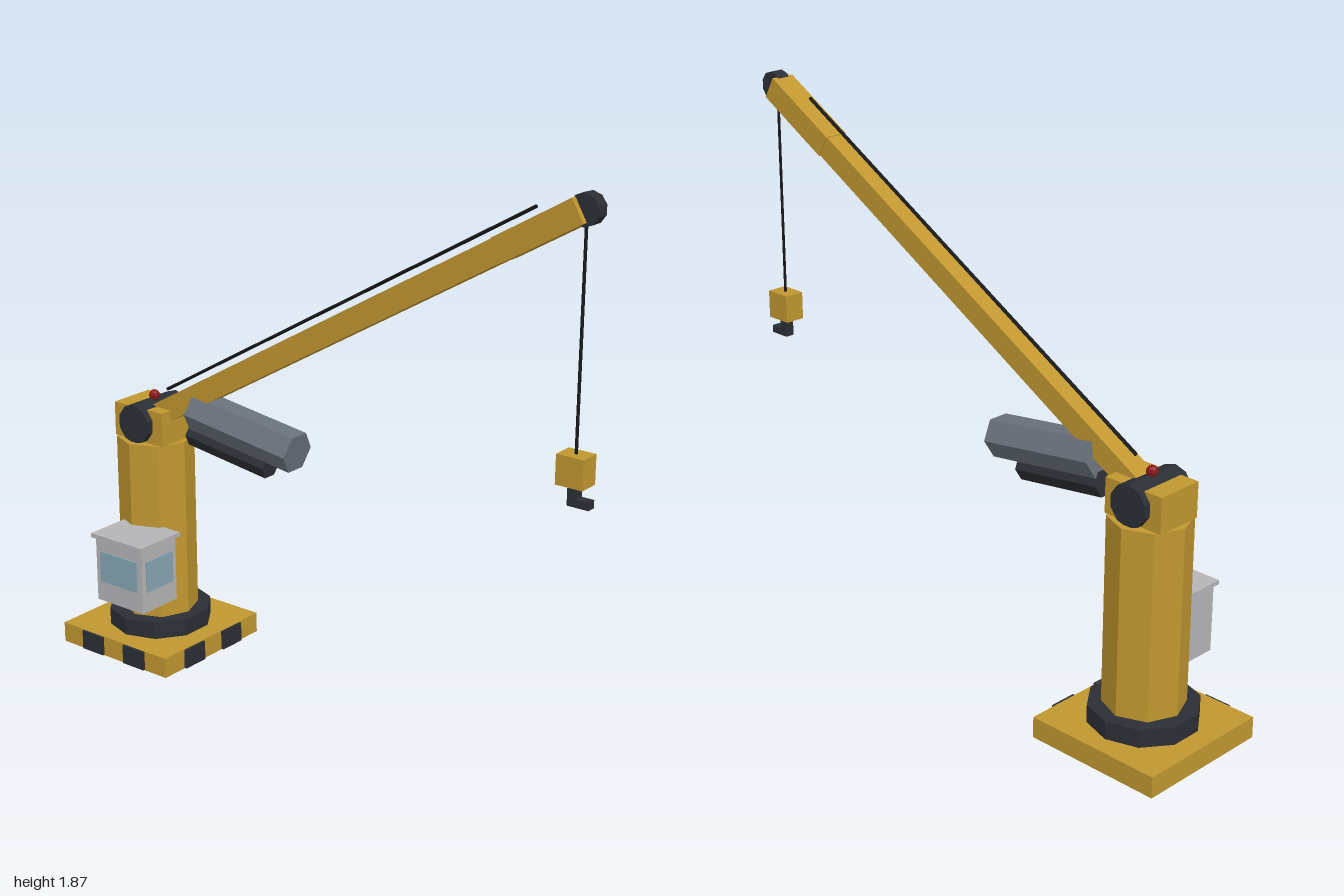
import * as THREE from 'three';

const mat = (color) => new THREE.MeshStandardMaterial({ color, flatShading: true });

export function createModel() {
  const yellow = mat(0xc0962f), dark = mat(0x2b2e35), steel = mat(0x69717b);
  const cabGrey = mat(0xb4b4b6), glass = mat(0x86a5b2), red = mat(0x8c1418), black = mat(0x15171a);
  const CX = -0.755, CZ = -0.016; // column axis
  const model = new THREE.Group();
  model.name = 'columnCrane';

  const add = (name, geometry, material, x, y, z, parent = model) => {
    const mesh = new THREE.Mesh(geometry, material);
    mesh.name = name;
    mesh.position.set(x, y, z);
    parent.add(mesh);
    return mesh;
  };
  const box = (name, material, w, h, d, x, y, z, parent) =>
    add(name, new THREE.BoxGeometry(w, h, d), material, x, y, z, parent);
  const cyl = (name, material, r, h, sides, x, y, z, parent) =>
    add(name, new THREE.CylinderGeometry(r, r, h, sides), material, x, y, z, parent);

  // Base plate with hazard stripes on the front and the +x side
  const size = 0.49, stripe = size / 5;
  box('basePlate', yellow, size, 0.073, size, CX, 0.0365, CZ);
  for (const s of [-1, 1]) {
    box('frontStripe', dark, stripe, 0.069, 0.01, CX + s * stripe, 0.0365, CZ + size / 2 + 0.003);
    box('sideStripe', dark, 0.01, 0.069, stripe, CX + size / 2 + 0.005, 0.0365, CZ + s * stripe);
  }

  // Slewing ring, column, head and boom pivot
  cyl('slewingRing', dark, 0.183, 0.062, 10, CX, 0.104, CZ);
  cyl('column', yellow, 0.135, 0.64, 8, CX, 0.455, CZ);
  box('head', yellow, 0.22, 0.12, 0.17, CX, 0.835, CZ);
  cyl('boomPivot', dark, 0.07, 0.218, 10, CX, 0.84, CZ).rotation.x = Math.PI / 2;
  add('beacon', new THREE.SphereGeometry(0.019, 8, 6), red, CX, 0.921, CZ);

  // Boom, laid along local x from the pivot
  const boom = new THREE.Group();
  boom.name = 'boom';
  boom.position.set(CX, 0.84, CZ);
  boom.rotation.z = Math.PI / 6;
  model.add(boom);
  box('mainBoom', yellow, 1.68, 0.077, 0.077, 0.84, 0, 0, boom);
  box('boomTip', yellow, 0.31, 0.081, 0.085, 1.795, 0, 0, boom);
  cyl('stayRod', black, 0.006, 1.69, 6, 0.957, 0.067, 0, boom).rotation.z = Math.PI / 2;

  // Tip sheave, hoist rope, hook block and hook
  const HX = 0.94;
  cyl('tipSheave', dark, 0.05, 0.046, 10, 0.943, 1.815, CZ).rotation.x = Math.PI / 2;
  cyl('hoistRope', black, 0.005, 0.73, 6, HX, 1.44, CZ);
  box('hookBlock', yellow, 0.095, 0.097, 0.072, HX, 1.031, CZ);
  box('hookStem', dark, 0.032, 0.065, 0.032, HX, 0.951, CZ);
  box('hookFoot', dark, 0.074, 0.026, 0.032, 0.962, 0.93, CZ);

  // Winch drum housing and motor below the boom
  const tilt = Math.PI / 2 - 0.136;
  cyl('winchHousing', steel, 0.072, 0.44, 6, -0.336, 0.877, CZ).rotation.z = tilt;
  cyl('winchMotor', dark, 0.047, 0.343, 6, -0.402, 0.8, CZ).rotation.z = tilt;

  // Operator cab
  const cab = new THREE.Group();
  cab.name = 'cab';
  cab.position.set(-0.695, 0, 0.164);
  model.add(cab);
  box('cabBody', cabGrey, 0.214, 0.235, 0.172, 0, 0.3445, 0, cab);
  box('cabRoof', cabGrey, 0.236, 0.015, 0.196, 0, 0.4685, 0, cab);
  box('frontWindow', glass, 0.172, 0.112, 0.01, 0, 0.358, 0.086, cab);
  box('sideWindow', glass, 0.01, 0.112, 0.132, 0.107, 0.358, 0, cab);

  return model;
}
